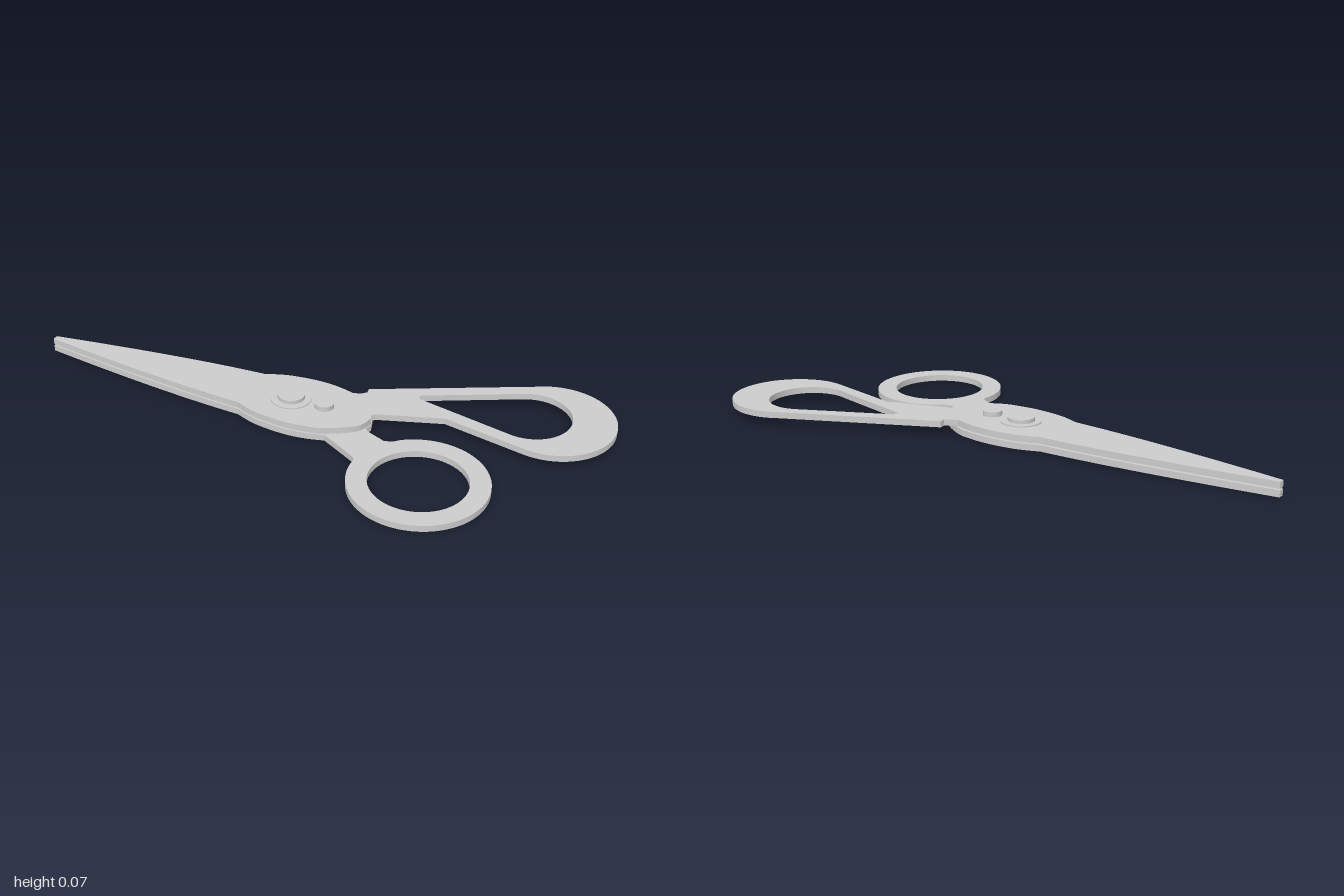
import * as THREE from 'three';
import { toCreasedNormals } from 'three/addons/utils/BufferGeometryUtils.js';

const material = new THREE.MeshStandardMaterial({ color: 0xcccccc });
const THICKNESS = 0.022;

// Shapes are drawn in plan: shape x = model x, shape y = model -z.
const lines = (path, points) => points.forEach(([x, y]) => path.lineTo(x, y));

// Rounded pivot body and tapering blade; side is the side (+1 / -1) the handle leaves from.
function bladeOutline(side) {
  const rim = [[0.245, 0], [0.22, 0.06], [0.13, 0.118], [0.06, 0.135], [-0.02, 0.14], [-0.12, 0.128], [-0.2, 0.1]];
  const s = new THREE.Shape();
  s.moveTo(0.245, 0);
  s.splineThru(rim.slice(1).map(([x, y]) => new THREE.Vector2(x, -side * y)));
  s.quadraticCurveTo(-0.5, -side * 0.088, -1, -side * 0.01);
  s.lineTo(-1, side * 0.01);
  s.quadraticCurveTo(-0.5, side * 0.088, -0.2, side * 0.1);
  s.splineThru(rim.slice(2, 6).reverse().map(([x, y]) => new THREE.Vector2(x, side * y)));
  return s;
}

function plate(name, shape, y) {
  const geometry = new THREE.ExtrudeGeometry(shape, { depth: THICKNESS, bevelEnabled: false, curveSegments: 40 });
  geometry.rotateX(-Math.PI / 2);
  const mesh = new THREE.Mesh(toCreasedNormals(geometry, 0.5), material);
  mesh.name = name;
  mesh.position.y = y;
  return mesh;
}

function disc(name, x, radius, bottom, top) {
  const mesh = new THREE.Mesh(new THREE.CylinderGeometry(radius, radius, top - bottom, 48), material);
  mesh.name = name;
  mesh.position.set(x, (bottom + top) / 2, 0);
  return mesh;
}

// Upper half: blade with a teardrop finger loop
function upperShape() {
  const s = bladeOutline(1);
  lines(s, [[0.155, 0.128], [0.17, 0.143], [0.167, 0.164], [0.697, 0.434]]);
  s.absarc(0.79, 0.25, 0.207, 2.03, -1.768, true);
  lines(s, [[0.465, 0.104], [0.25, 0.03], [0.237, 0.018]]);
  const hole = new THREE.Path();
  hole.moveTo(0.366, 0.174);
  hole.absarc(0.715, 0.24, 0.137, -1.768, 2.03, false);
  lines(hole, [[0.345, 0.203], [0.338, 0.195], [0.346, 0.18]]);
  s.holes.push(hole);
  return s;
}

// Lower half: blade with a round thumb ring
function lowerShape() {
  const s = bladeOutline(-1);
  lines(s, [[0.255, -0.187], [0.27, -0.2]]);
  s.absarc(0.498, -0.222, 0.227, Math.PI - 0.05, Math.PI * 2 + 2.198, false);
  lines(s, [[0.345, -0.058], [0.318, -0.066], [0.25, -0.038], [0.237, -0.025]]);
  const hole = new THREE.Path();
  hole.absarc(0.498, -0.222, 0.16, 0, Math.PI * 2, true);
  s.holes.push(hole);
  return s;
}

export function createModel() {
  const group = new THREE.Group();
  group.name = 'scissors';
  group.add(
    plate('lowerBlade', lowerShape(), 0.007),
    plate('upperBlade', upperShape(), 0.034),
    // Pivot through both halves, with its screw head and a stop pin
    disc('pivotWasher', -0.047, 0.07, 0, 0.06),
    disc('screwHead', -0.047, 0.046, 0.058, 0.073),
    disc('stopPin', 0.075, 0.033, 0.05, 0.073),
  );
  return group;
}
